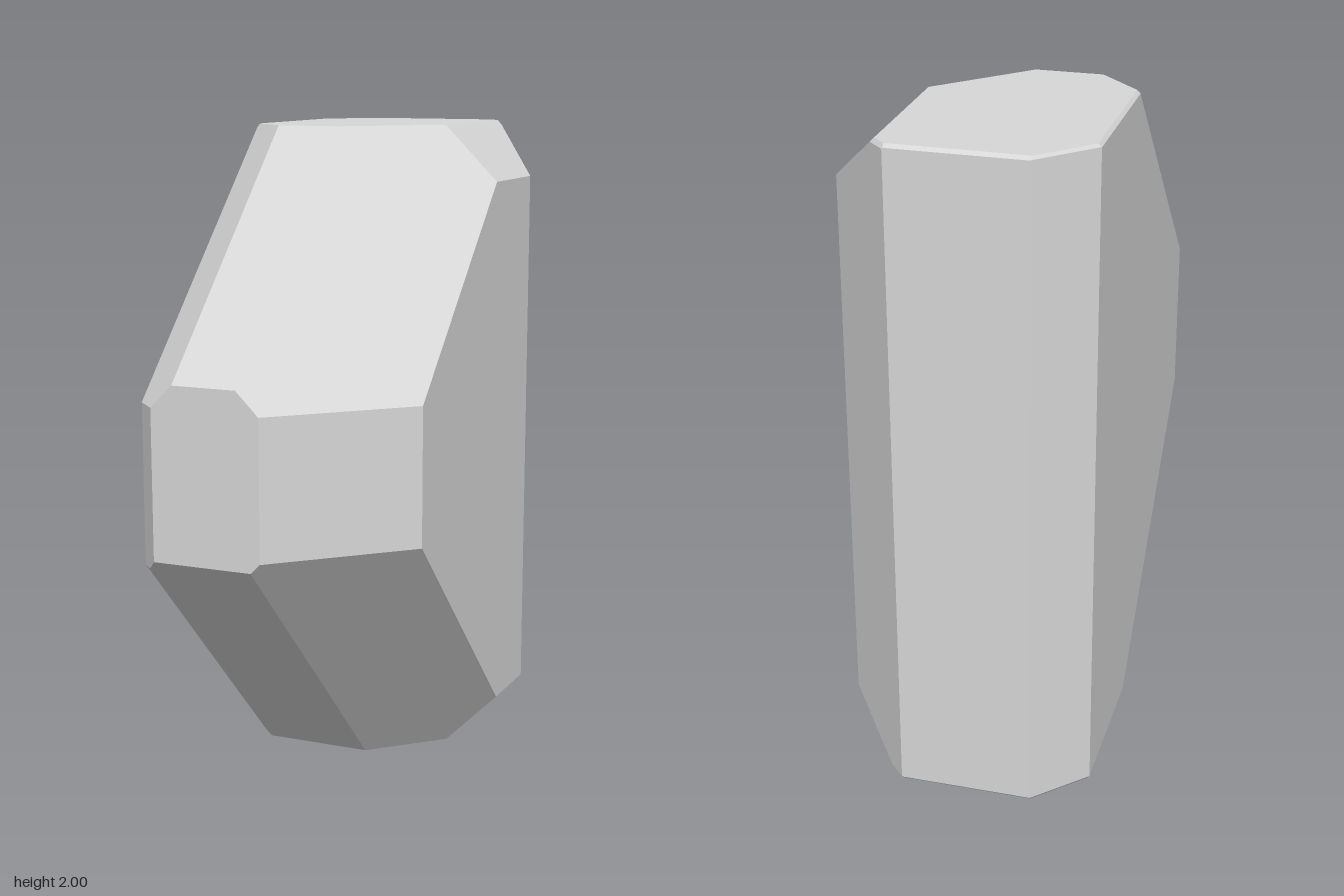
import * as THREE from 'three';

// The stone is a block bevelled along its axes, edges and corners.
// Each cut: direction x, y, z and the limit of that sum.
const CUTS = [
  // sides
  [1, 0, 0, 0.373], [-1, 0, 0, 0.375], [0, 1, 0, 2], [0, -1, 0, 0], [0, 0, 1, 0.725], [0, 0, -1, 0.725],
  // edge bevels
  [0, 1, 1, 2.037], [0, -1, 1, -0.073], [0, 1, -1, 2.715], [0, -1, -1, 0.715],
  [1, 1, 0, 2.205], [1, -1, 0, 0.202], [-1, 1, 0, 2.365], [-1, -1, 0, 0.365],
  [1, 0, 1, 0.753], [1, 0, -1, 0.895], [-1, 0, 1, 1.034], [-1, 0, -1, 0.951],
  // corner bevels
  [1, 1, 1, 1.995], [-1, 1, 1, 2.278], [1, -1, 1, -0.074], [-1, -1, 1, 0.266],
  [1, 1, -1, 2.882], [-1, 1, -1, 2.942], [1, -1, -1, 0.882], [-1, -1, -1, 0.942],
];

// Points where three cuts meet inside all the others
function findCorners(planes) {
  const corners = [];
  const m = new THREE.Matrix3();
  for (let i = 0; i < planes.length; i++)
    for (let j = i + 1; j < planes.length; j++)
      for (let k = j + 1; k < planes.length; k++) {
        const [a, b, c] = [planes[i], planes[j], planes[k]];
        m.set(a.n.x, a.n.y, a.n.z, b.n.x, b.n.y, b.n.z, c.n.x, c.n.y, c.n.z);
        if (Math.abs(m.determinant()) < 1e-6) continue;
        const p = new THREE.Vector3(a.d, b.d, c.d).applyMatrix3(m.invert());
        if (planes.some((q) => q.n.dot(p) > q.d + 1e-6)) continue;
        if (!corners.some((q) => q.distanceTo(p) < 1e-5)) corners.push(p);
      }
  return corners;
}

// One flat polygon per cut, corners sorted counter-clockwise around its normal
function cutBlock(cuts) {
  const planes = cuts.map(([x, y, z, d]) => ({ n: new THREE.Vector3(x, y, z), d }));
  const corners = findCorners(planes);
  const positions = [];
  for (const { n, d } of planes) {
    const face = corners.filter((p) => Math.abs(n.dot(p) - d) < 1e-5);
    if (face.length < 3) continue;
    const centre = face.reduce((s, p) => s.add(p), new THREE.Vector3()).divideScalar(face.length);
    const u = face[0].clone().sub(centre).normalize();
    const v = n.clone().normalize().cross(u);
    const angle = (p) => {
      const r = p.clone().sub(centre);
      return Math.atan2(r.dot(v), r.dot(u));
    };
    face.sort((p, q) => angle(p) - angle(q));
    for (let i = 1; i < face.length - 1; i++)
      for (const p of [face[0], face[i], face[i + 1]]) positions.push(p.x, p.y, p.z);
  }
  const geometry = new THREE.BufferGeometry();
  geometry.setAttribute('position', new THREE.Float32BufferAttribute(positions, 3));
  geometry.computeVertexNormals();
  return geometry;
}

export function createModel() {
  const group = new THREE.Group();
  group.name = 'facetedStone';
  const stoneGrey = new THREE.MeshStandardMaterial({ color: 0xd8d8d8, flatShading: true });
  stoneGrey.name = 'stone grey';
  const stone = new THREE.Mesh(cutBlock(CUTS), stoneGrey);
  stone.name = 'stoneBody';
  group.add(stone);
  return group;
}
